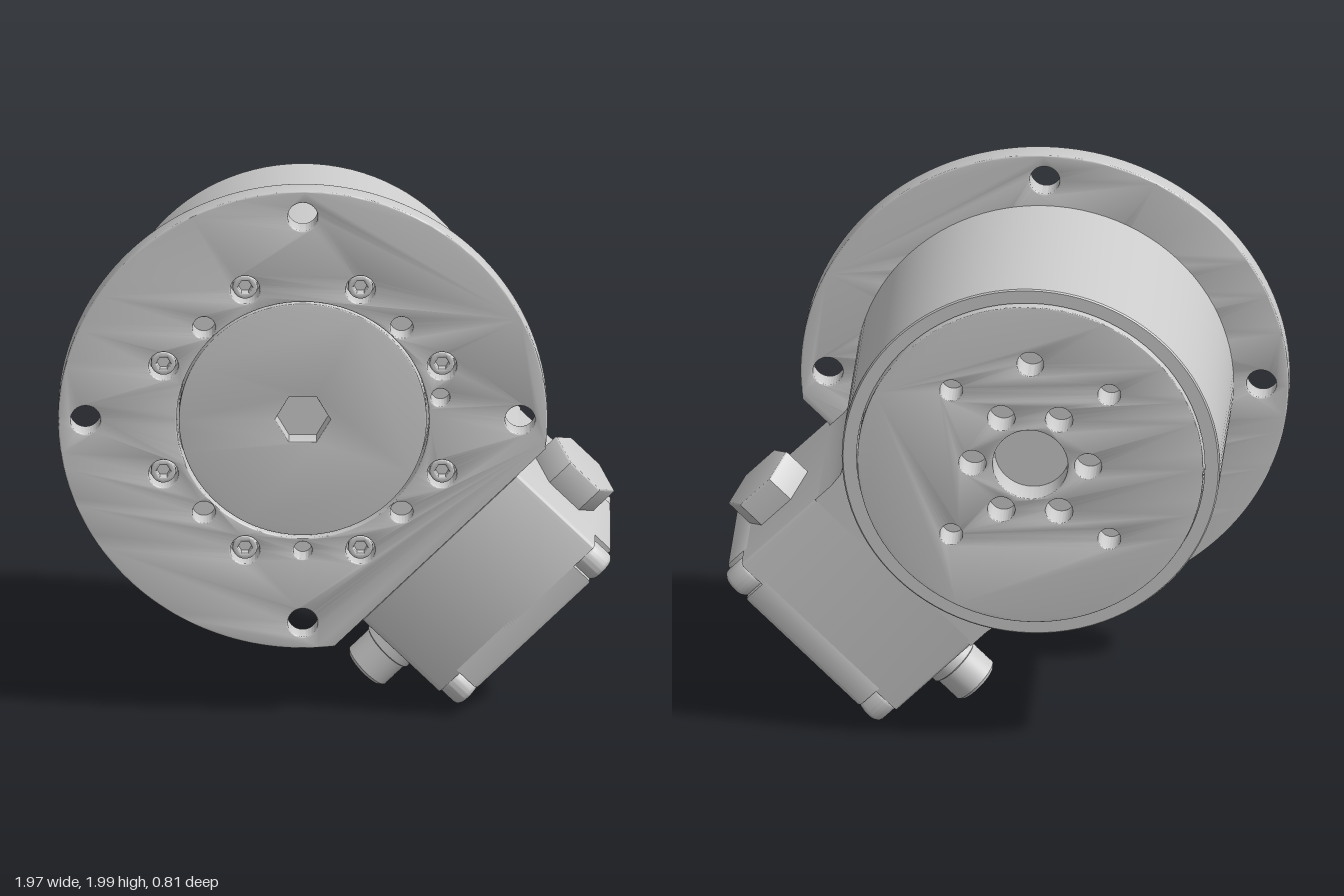
import * as THREE from 'three';
import { toCreasedNormals } from 'three/addons/utils/BufferGeometryUtils.js';

const material = new THREE.MeshStandardMaterial({ color: 0xcccccc });

function add(parent, name, geometry) {
  const mesh = new THREE.Mesh(geometry, material);
  mesh.name = name;
  parent.add(mesh);
  return mesh;
}

function circle(Kind, r, radius = 0, angle = 0) {
  const path = new Kind();
  path.absarc(radius * Math.cos(angle), radius * Math.sin(angle), r, 0, Math.PI * 2, false);
  return path;
}

function polygon(Kind, points) {
  return new Kind(points.map(([x, y]) => new THREE.Vector2(x, y)));
}

function hexagon(Kind, r, turn = 0) {
  const points = [];
  for (let i = 0; i < 6; i++) {
    const a = turn + (i * Math.PI) / 3;
    points.push([r * Math.cos(a), r * Math.sin(a)]);
  }
  return polygon(Kind, points);
}

// Extrude a shape from z0 to z1, with an optional rounded rim that keeps the outline size
function slab(shape, z0, z1, bevel = 0, segments = 64) {
  const g = new THREE.ExtrudeGeometry(shape, {
    depth: z1 - z0 - 2 * bevel, curveSegments: segments,
    bevelEnabled: bevel > 0, bevelThickness: bevel, bevelSize: bevel, bevelOffset: -bevel, bevelSegments: 3,
  });
  g.translate(0, 0, z0 + bevel);
  return toCreasedNormals(g, 0.55);
}

// Socket head screw standing on z = 0 and pointing along +z
function screw(name, r, height, socket, bevel) {
  const group = new THREE.Group();
  group.name = name;
  const head = circle(THREE.Shape, r);
  head.holes.push(hexagon(THREE.Path, socket));
  add(group, 'screwHead', slab(head, 0, height, bevel, 28));
  const floor = add(group, 'socketFloor', new THREE.CylinderGeometry(r * 0.8, r * 0.8, height * 0.4, 24));
  floor.rotation.x = Math.PI / 2;
  floor.position.z = height * 0.25;
  return group;
}

// Turn a geometry so that its x, y, z become y, z, x
const alongX = new THREE.Matrix4().makeBasis(
  new THREE.Vector3(0, 1, 0), new THREE.Vector3(0, 0, 1), new THREE.Vector3(1, 0, 0));

const ring = (n, start, fn) => {
  for (let i = 0; i < n; i++) fn(start + (i * Math.PI * 2) / n);
};

function buildDrum(body) {
  // Mounting flange with a straight cut at the lower left
  const cut = Math.acos(0.686 / 0.865);
  const flange = new THREE.Shape();
  flange.absarc(0, 0, 0.865, -Math.PI / 4 + cut, Math.PI * 1.75 - cut, false);
  flange.closePath();
  const hole = (r, radius, a) => flange.holes.push(circle(THREE.Path, r, radius, a));
  hole(0.446, 0, 0);
  ring(4, 0, (a) => hole(0.053, 0.768, a));
  ring(4, Math.PI / 4, (a) => hole(0.04, 0.494, a));
  hole(0.033, 0.494, 0.172);
  hole(0.033, 0.494, -Math.PI / 2);
  ring(8, Math.PI / 8, (a) => {
    hole(0.052, 0.533, a);
    const s = screw('flangeScrew', 0.044, 0.055, 0.025, 0.006);
    s.position.set(0.533 * Math.cos(a), 0.533 * Math.sin(a), 0.325);
    body.add(s);
  });
  add(body, 'flange', slab(flange, 0.325, 0.405, 0.005, 72));

  // Front cover with a hexagonal socket
  const cover = circle(THREE.Shape, 0.438);
  cover.holes.push(hexagon(THREE.Path, 0.098));
  add(body, 'frontCover', slab(cover, 0.32, 0.402, 0.003));

  // Drum shell, closed at the front and recessed at the back
  const profile = [[0, -0.3], [0.617, -0.3], [0.617, -0.385], [0.665, -0.385], [0.67, -0.38], [0.67, 0.325], [0, 0.325]];
  const drum = new THREE.LatheGeometry(profile.map(([r, y]) => new THREE.Vector2(r, y)), 96);
  drum.rotateX(Math.PI / 2);
  add(body, 'drum', toCreasedNormals(drum, 0.5));

  // Output plate on the back with its bolt pattern
  const plate = circle(THREE.Shape, 0.613);
  const bore = (r, radius, a) => plate.holes.push(circle(THREE.Path, r, radius, a));
  bore(0.133, 0, 0);
  ring(6, 0, (a) => bore(0.048, 0.205, a));
  ring(4, Math.PI / 4, (a) => bore(0.04, 0.396, a));
  bore(0.047, 0.39, Math.PI / 2);
  add(body, 'outputPlate', slab(plate, -0.41, -0.3, 0.003));
}

// Terminal box: x points away from the drum, z = 0.06 is its middle
function buildTerminalBox(body) {
  const box = new THREE.Group();
  box.name = 'terminalBox';
  box.rotation.z = -Math.PI / 4;
  body.add(box);
  const midZ = 0.06, halfY = 0.39, halfZ = 0.344;

  // Neck flaring into the drum
  const half = [[0.7, 0.39], [0.62, 0.39], [0.565, 0.398], [0.52, 0.425], [0.4, 0.42]];
  const outline = [...half, ...half.map(([x, y]) => [x, -y]).reverse()];
  add(box, 'neck', slab(polygon(THREE.Shape, outline), midZ - halfZ, 0.326));

  // Main block with rounded long edges
  const c = 0.02;
  const section = new THREE.Shape();
  section.absarc(halfY - c, halfZ - c, c, 0, Math.PI / 2);
  section.absarc(c - halfY, halfZ - c, c, Math.PI / 2, Math.PI);
  section.absarc(c - halfY, c - halfZ, c, Math.PI, Math.PI * 1.5);
  section.absarc(halfY - c, c - halfZ, c, Math.PI * 1.5, Math.PI * 2);
  section.closePath();
  add(box, 'block', slab(section, 0.687, 1.07, 0, 6).applyMatrix4(alongX)).position.z = midZ;

  // Lid with a notch at each corner for its screws
  const y = 0.285, z = 0.225;
  const lid = polygon(THREE.Shape, [
    [halfY, -z], [halfY, z], [y, z], [y, halfZ], [-y, halfZ], [-y, z],
    [-halfY, z], [-halfY, -z], [-y, -z], [-y, -halfZ], [y, -halfZ], [y, -z]]);
  add(box, 'lid', slab(lid, 1.04, 1.157, 0.015).applyMatrix4(alongX)).position.z = midZ;
  for (const sy of [-1, 1]) for (const sz of [-1, 1]) {
    const s = screw('lidScrew', 0.057, 0.1, 0.03, 0.02);
    s.rotation.y = Math.PI / 2;
    s.position.set(1.062, sy * 0.333, midZ + sz * 0.287);
    box.add(s);
  }

  // Hexagonal plug on the upper side
  const plug = slab(hexagon(THREE.Shape, 0.146), 0.38, 0.497, 0.006);
  plug.rotateX(-Math.PI / 2);
  add(box, 'hexPlug', plug).position.set(0.917, 0, midZ);

  // Cable connector on the lower side
  const nut = slab(hexagon(THREE.Shape, 0.14), 0.38, 0.425, 0.005);
  nut.rotateX(Math.PI / 2);
  add(box, 'connectorNut', nut).position.set(0.912, 0, midZ);
  const profile = [
    [0, -0.52], [0.062, -0.52], [0.062, -0.6], [0.078, -0.6], [0.09, -0.588],
    [0.09, -0.49], [0.098, -0.485], [0.098, -0.45], [0.11, -0.44], [0.11, -0.39]];
  const socket = new THREE.LatheGeometry(profile.map(([r, h]) => new THREE.Vector2(r, h)), 40);
  add(box, 'connector', toCreasedNormals(socket, 0.5)).position.set(0.912, 0, midZ);
}

export function createModel() {
  const model = new THREE.Group();
  model.name = 'gearedActuator';
  const body = new THREE.Group();
  body.name = 'body';
  body.position.set(-0.115, 1.135, 0);
  model.add(body);
  buildDrum(body);
  buildTerminalBox(body);
  return model;
}
